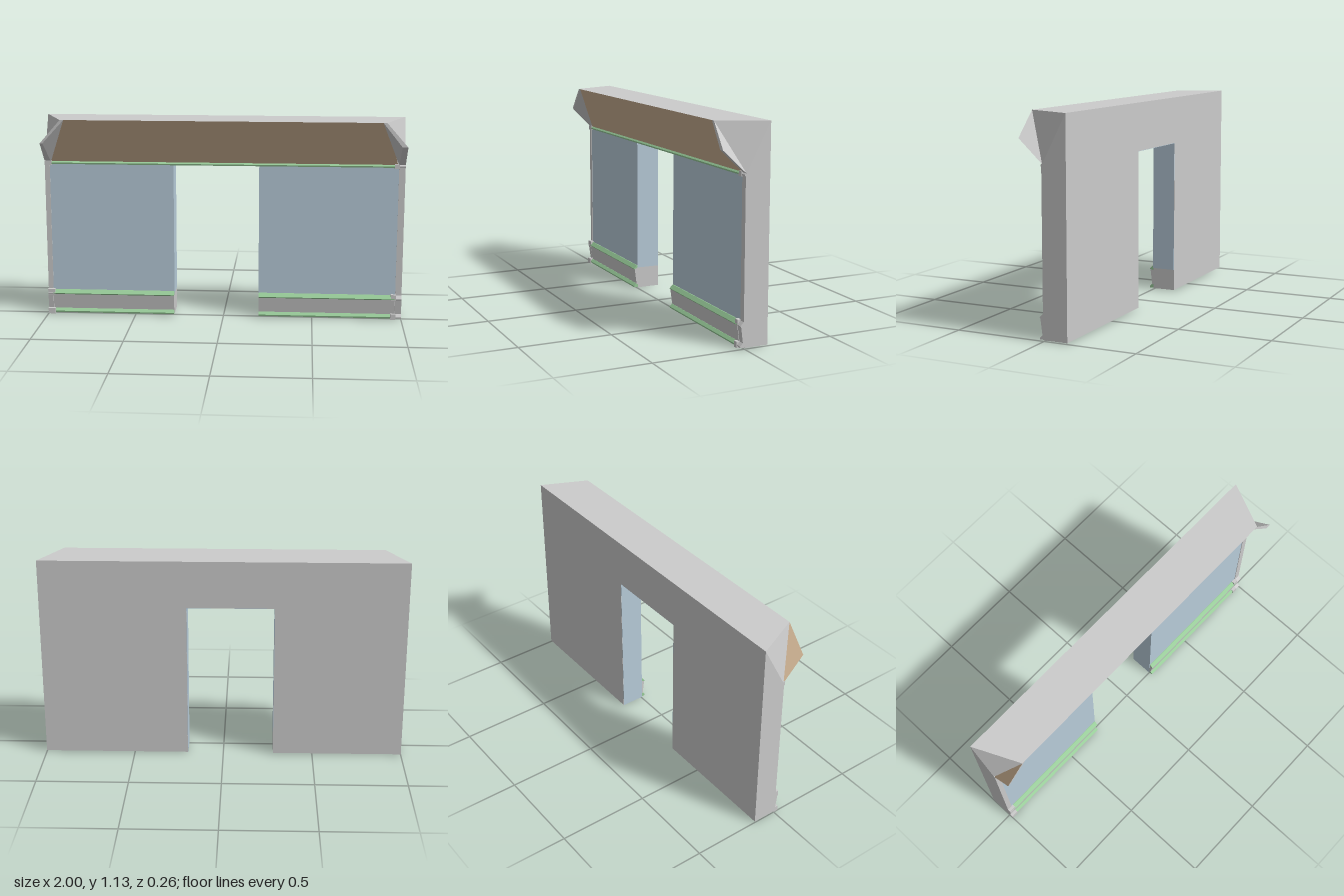
import * as THREE from 'three';

const mat = (color) => new THREE.MeshStandardMaterial({ color, side: THREE.DoubleSide, flatShading: true });

export function createModel() {
  const group = new THREE.Group();
  const grey = mat(0xcccccc), blue = mat(0xb8ccda), brown = mat(0xd0b595), green = mat(0x99cc9a);
  const BACK = -0.13, FRONT = 0, DOOR_L = -0.28, DOOR_R = 0.2, BASE = 0.01, LINTEL = 0.87, EAVE = 0.88, TOP = 1.13;

  const add = (name, geometry, material) => {
    const mesh = new THREE.Mesh(geometry, material);
    mesh.name = name;
    group.add(mesh);
  };
  const box = (name, x0, x1, y0, y1, z0, z1, material) => add(name,
    new THREE.BoxGeometry(x1 - x0, y1 - y0, z1 - z0).translate((x0 + x1) / 2, (y0 + y1) / 2, (z0 + z1) / 2), material);
  // flat convex polygons, each split into a fan of triangles
  const faces = (name, polygons, material) => {
    const pos = [];
    for (const p of polygons)
      for (let i = 1; i < p.length - 1; i++) pos.push(...p[0], ...p[i], ...p[i + 1]);
    const g = new THREE.BufferGeometry();
    g.setAttribute('position', new THREE.Float32BufferAttribute(pos, 3));
    g.computeVertexNormals();
    add(name, g, material);
  };
  // a [z, y] profile run along x
  const run = (name, profile, x0, x1, material) => {
    const shape = new THREE.Shape(profile.map(([z, y]) => new THREE.Vector2(z, y)));
    const g = new THREE.ExtrudeGeometry(shape, { depth: x1 - x0, bevelEnabled: false });
    add(name, g.rotateY(-Math.PI / 2).translate(x1, 0, 0), material);
  };

  // wall with doorway
  const wall = new THREE.Shape([
    [-1, BASE], [DOOR_L, BASE], [DOOR_L, LINTEL], [DOOR_R, LINTEL],
    [DOOR_R, BASE], [1, BASE], [1, EAVE], [-1, EAVE],
  ].map(([x, y]) => new THREE.Vector2(x, y)));
  add('wall', new THREE.ExtrudeGeometry(wall, { depth: FRONT - BACK, bevelEnabled: false }).translate(0, 0, BACK), grey);

  // coloured wall panels and doorway lining
  const t = 0.002, inner = BACK + 0.001;
  box('leftOfDoorPanel', -0.975, DOOR_L, 0.14, LINTEL, FRONT, t, blue);
  box('rightOfDoorPanel', DOOR_R, 0.965, 0.14, LINTEL, FRONT, t, blue);
  box('doorJamb', DOOR_L, DOOR_L + t, 0.13, LINTEL, inner, t, blue);
  box('doorJamb', DOOR_R - t, DOOR_R, BASE, LINTEL, inner, t, blue);
  box('doorLintel', DOOR_L, DOOR_R, LINTEL - t, LINTEL, inner, t, blue);

  // skirting with its two rails on each side of the door
  const skirting = [[0, 0.03], [0.008, 0.03], [0.02, 0.122], [0, 0.13]];
  const upperRail = [[0, 0.118], [0.02, 0.118], [0.024, 0.124], [0.006, 0.143], [0, 0.143]];
  const lowerRail = [[0, 0.012], [0.022, 0.012], [0.024, 0.02], [0.01, 0.034], [0, 0.034]];
  for (const [x0, x1] of [[-0.97, DOOR_L], [DOOR_R, 0.96]]) {
    run('skirting', skirting, x0, x1, grey);
    run('upperSkirtingRail', upperRail, x0, x1, green);
    run('lowerSkirtingRail', lowerRail, x0, x1, green);
  }
  const eaveRail = [[0, 0.868], [0.008, 0.868], [0.01, 0.876], [0, 0.885]];
  run('eaveRail', eaveRail, -0.97, 0.96, green);

  // corner posts with joints where the rails meet them
  for (const [x0, x1, j0, j1] of [[-1, -0.972, -1, -0.96], [0.965, 1, 0.94, 0.968]]) {
    box('cornerPost', x0, x1, 0.14, LINTEL, FRONT, 0.005, grey);
    run('postFoot', skirting, x0, x1, grey);
    run('footUpperRail', upperRail, x0, x1, grey);
    run('footLowerRail', lowerRail, x0, x1, grey);
    run('eaveRailEnd', eaveRail, x0, x1, grey);
    box('eaveJoint', j0, j1, 0.862, 0.888, FRONT, 0.011, grey);
    box('upperJoint', j0, j1, 0.115, 0.148, FRONT, 0.022, grey);
    box('lowerJoint', j0, j1, 0.004, 0.036, FRONT, 0.026, grey);
  }

  // overhanging header: grey back, top and ends, brown sloping front
  const lip = 0.12, tipX = 0.885;
  faces('header', [
    [[1, EAVE, BACK], [-1, EAVE, BACK], [-1, TOP, BACK], [1, TOP, BACK]],
    [[-1, TOP, BACK], [-tipX, TOP, lip], [tipX, TOP, lip], [1, TOP, BACK]],
  ], grey);
  faces('headerFront', [
    [[-0.975, EAVE, FRONT], [0.96, EAVE, FRONT], [tipX, TOP, lip], [-tipX, TOP, lip]],
  ], brown);

  // splayed corner wings at the header ends
  for (const s of [-1, 1]) {
    const z = s > 0 ? 0.13 : 0.118;
    const P = [s * tipX, TOP, lip], Q = [s, 1, z], R = [s, EAVE, FRONT];
    const p = [s * 0.865, TOP, lip], q = [s * (s > 0 ? 0.97 : 0.985), 1, z], r = [s * 0.965, EAVE, FRONT];
    const backTop = [s, TOP, BACK], backLow = [s, EAVE, BACK];
    const wind = (list) => list.map((f) => (s > 0 ? f : [...f].reverse()));
    faces('headerEnd', wind([[backTop, P, R], [backTop, R, backLow]]), grey);
    faces('wingOuterFace', wind([[P, Q, R]]), s > 0 ? grey : brown);
    faces('wing', wind([[p, r, q], [p, q, Q, P], [q, r, R, Q]]), grey);
  }
  return group;
}
